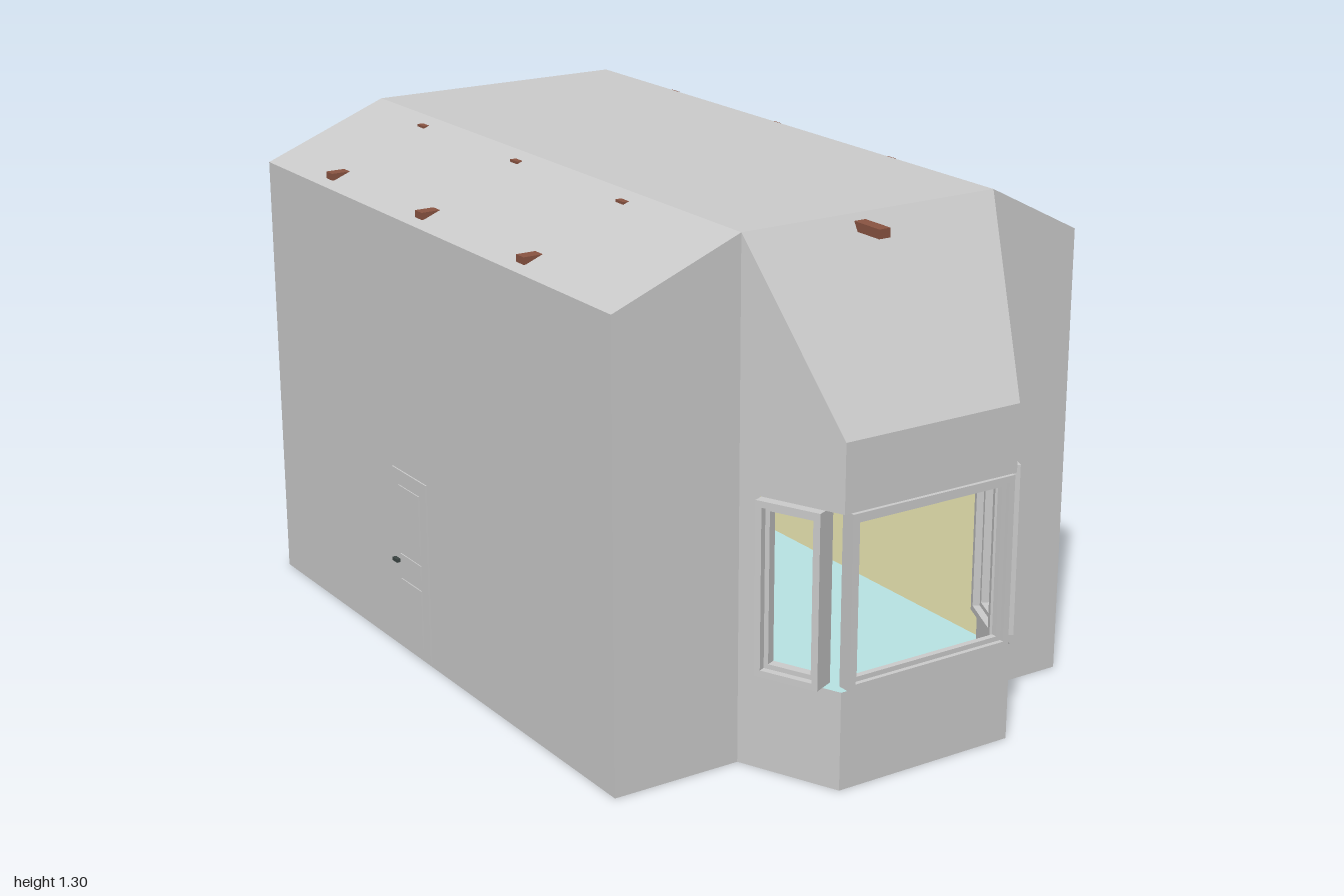
import * as THREE from 'three';

const mat = (color) => new THREE.MeshStandardMaterial({ color, side: THREE.DoubleSide, flatShading: true });
const GREY = mat(0xcccccc), BROWN = mat(0x8a5442), CREAM = mat(0xf2efb8), AQUA = mat(0xb8e4e4);
const TEAL = mat(0x8aaaa2), HOOD = mat(0x74b4aa), WHITE = mat(0xd0e8ea), DARK = mat(0x3c4644);

// Flat convex panel from its corners
function panel(parent, name, material, pts) {
  const g = new THREE.BufferGeometry();
  const pos = [];
  for (let i = 1; i < pts.length - 1; i++) pos.push(...pts[0], ...pts[i], ...pts[i + 1]);
  g.setAttribute('position', new THREE.Float32BufferAttribute(pos, 3));
  g.computeVertexNormals();
  const m = new THREE.Mesh(g, material);
  m.name = name;
  parent.add(m);
}

// Box given by its minimum and maximum corners
function box(parent, name, material, a, b) {
  const m = new THREE.Mesh(new THREE.BoxGeometry(b[0] - a[0], b[1] - a[1], b[2] - a[2]), material);
  m.position.set((a[0] + b[0]) / 2, (a[1] + b[1]) / 2, (a[2] + b[2]) / 2);
  m.name = name;
  parent.add(m);
}

// Rectangular ring, its outer face at z = front
function ring(w, h, border, depth, front) {
  const rect = (P, x, y) => new P([[-x, -y], [x, -y], [x, y], [-x, y]].map((p) => new THREE.Vector2(...p)));
  const s = rect(THREE.Shape, w / 2, h / 2);
  s.holes.push(rect(THREE.Path, w / 2 - border, h / 2 - border));
  const g = new THREE.ExtrudeGeometry(s, { depth, bevelEnabled: false });
  return new THREE.Mesh(g.translate(0, 0, front - depth), GREY);
}

// Window: deep outer frame and a thin recessed sash
function windowFrame(name, w, h, depth) {
  const g = new THREE.Group();
  g.name = name;
  const frame = ring(w, h, 0.016, depth, 0);
  frame.name = 'frame';
  const sash = ring(w - 0.032, h - 0.032, 0.012, depth * 0.4, -depth * 0.3);
  sash.name = 'sash';
  g.add(frame, sash);
  return g;
}

export function createModel() {
  const model = new THREE.Group();
  const W = 0.67, EAVE = 1.17, TOP = 1.305, BACK = -1, FRONT = 0.735;
  const CX = 0.04, BAY = 0.365, NOSE = 0.253, BZ = 0.99, BAYTOP = 0.86;
  const Y0 = 0.25, Y1 = 0.688; // window band
  const RL = CX - BAY, RR = CX + BAY;

  // Main body
  const body = new THREE.Group();
  body.name = 'house';
  model.add(body);
  const gable = [[-W, 0], [W, 0], [W, EAVE], [RR, TOP], [RL, TOP], [-W, EAVE]];
  panel(body, 'backWall', GREY, gable.map(([x, y]) => [x, y, BACK]).reverse());
  const names = ['floorSlab', 'leftWall', 'leftRoof', 'topRoof', 'rightRoof', 'rightWall'];
  gable.forEach(([x, y], i) => {
    const [u, v] = gable[(i + 1) % 6];
    panel(body, names[i], GREY, [[x, y, FRONT], [x, y, BACK], [u, v, BACK], [u, v, FRONT]]);
  });

  // Front flanks and bay sides, one pair per side
  for (const s of [-1, 1]) {
    const xb = CX + s * BAY, xf = CX + s * NOSE;
    panel(body, 'frontWall', GREY, [[s * W, 0, FRONT], [xb, 0, FRONT], [xb, TOP, FRONT], [s * W, EAVE, FRONT]]);
    const t = 0.2, xm = xb + (xf - xb) * t, zm = FRONT + (BZ - FRONT) * t;
    panel(body, 'bayLowerSide', GREY, [[xb, 0, FRONT], [xf, 0, BZ], [xf, Y0, BZ], [xb, Y0, FRONT]]);
    panel(body, 'bayJamb', GREY, [[xb, Y0, FRONT], [xm, Y0, zm], [xm, Y1, zm], [xb, Y1, FRONT]]);
    panel(body, 'bayUpperSide', GREY, [[xb, Y1, FRONT], [xf, Y1, BZ], [xf, BAYTOP, BZ], [xb, TOP, FRONT]]);

    // Side window stands slightly proud of the slanted wall
    const w = windowFrame('sideWindow', 0.17, Y1 - Y0, 0.06);
    w.position.set(CX + s * 0.33, (Y0 + Y1) / 2, 0.877);
    w.rotation.y = s * Math.atan2(0.91, 0.41);
    model.add(w);
  }
  const l = CX - NOSE, r = CX + NOSE;
  panel(body, 'bayLowerFront', GREY, [[l, 0, BZ], [r, 0, BZ], [r, Y0, BZ], [l, Y0, BZ]]);
  panel(body, 'bayUpperFront', GREY, [[l, Y1, BZ], [r, Y1, BZ], [r, BAYTOP, BZ], [l, BAYTOP, BZ]]);
  panel(body, 'bayRoof', GREY, [[l, BAYTOP, BZ], [r, BAYTOP, BZ], [RR, TOP, FRONT], [RL, TOP, FRONT]]);
  panel(body, 'bayFloorSlab', GREY, [[l, 0, BZ], [RL, 0, FRONT], [RR, 0, FRONT], [r, 0, BZ]]);

  const fw = windowFrame('frontWindow', 0.475, Y1 - Y0, 0.04);
  fw.position.set(CX + 0.002, (Y0 + Y1) / 2, 1);
  model.add(fw);

  // Roof beams poking through the slopes
  for (const z of [0.3, -0.195, -0.685]) {
    box(model, 'lowerBeam', BROWN, [-0.645, 1.182, z - 0.017], [0.65, 1.2, z + 0.017]);
    box(model, 'upperBeam', BROWN, [-0.372, 1.27, z - 0.017], [0.44, 1.293, z + 0.017]);
  }
  box(model, 'ridgeBeam', BROWN, [-0.016, 1.266, 0.2], [0.016, 1.289, 0.838]);

  // Room lining
  const room = new THREE.Group();
  room.name = 'room';
  model.add(room);
  const RW = 0.62, RB = -0.96, RT = 1.15, F = 0.01, RF = 0.725;
  panel(room, 'roomBack', CREAM, [[-RW, F, RB], [RW, F, RB], [RW, RT, RB], [-RW, RT, RB]]);
  for (const s of [-1, 1])
    panel(room, 'roomSide', CREAM, [[s * RW, F, RB], [s * RW, F, RF], [s * RW, RT, RF], [s * RW, RT, RB]]);
  panel(room, 'roomFloor', AQUA, [[-RW, F, RF], [RW, F, RF], [RW, F, RB], [-RW, F, RB]]);
  panel(room, 'bayFloor', AQUA, [[l, F, 0.98], [r, F, 0.98], [RR, F, RF], [RL, F, RF]]);

  // Wall cupboards and cooker hood
  const cz = -0.8;
  for (const [a, b] of [[-0.135, 0.01], [0.245, 0.39]]) {
    box(room, 'cupboard', TEAL, [a, 0.4, RB], [b, 0.58, cz]);
    box(room, 'cupboardDoor', TEAL, [a + 0.006, 0.405, cz], [b - 0.006, 0.575, cz + 0.01]);
    const p = ring(0.075, 0.115, 0.004, 0.006, 0);
    p.material = DARK;
    p.name = 'doorMoulding';
    p.position.set((a + b) / 2, 0.49, cz + 0.014);
    room.add(p);
    for (const y of [0.425, 0.545])
      box(room, 'hinge', DARK, [a + 0.002, y - 0.01, cz], [a + 0.008, y + 0.01, cz + 0.014]);
    box(room, 'knob', DARK, [b - 0.02, 0.413, cz + 0.01], [b - 0.014, 0.419, cz + 0.02]);
  }
  box(room, 'hood', HOOD, [0.01, 0.475, RB], [0.245, 0.58, cz]);
  box(room, 'hoodPanel', HOOD, [0.017, 0.482, cz], [0.238, 0.572, cz + 0.006]);

  // Fridge with two doors
  box(room, 'fridge', WHITE, [-0.3, F, RB], [-0.135, 0.505, -0.79]);
  for (const [y0, y1, h0, h1] of [[0.03, 0.343, 0.26, 0.325], [0.353, 0.502, 0.37, 0.475]]) {
    box(room, 'fridgeDoor', WHITE, [-0.297, y0, -0.79], [-0.138, y1, -0.77]);
    box(room, 'fridgeHandle', DARK, [-0.158, h0, -0.77], [-0.151, h1, -0.76]);
  }

  // Side door with raised panels and a handle
  const door = new THREE.Group();
  door.name = 'door';
  model.add(door);
  box(door, 'doorLeaf', GREY, [-0.674, 0.004, -0.33], [-0.66, 0.5, -0.15]);
  for (const [y0, y1] of [[0.04, 0.2], [0.23, 0.27], [0.3, 0.46]])
    box(door, 'doorPanel', GREY, [-0.677, y0, -0.295], [-0.67, y1, -0.185]);
  box(door, 'doorHandle', DARK, [-0.685, 0.243, -0.325], [-0.67, 0.252, -0.3]);
  return model;
}
